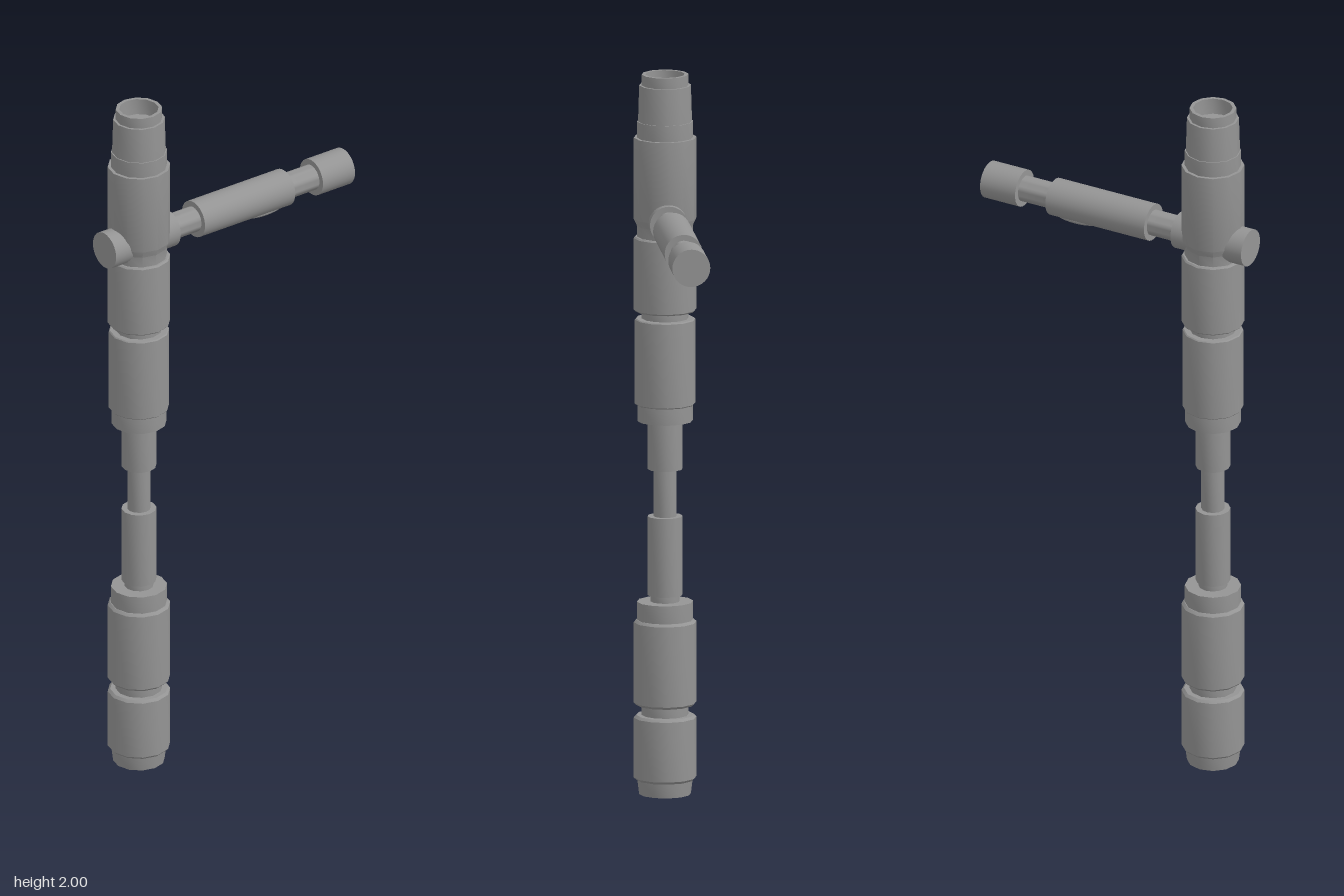
import * as THREE from 'three';
import { toCreasedNormals } from 'three/addons/utils/BufferGeometryUtils.js';

const material = new THREE.MeshStandardMaterial({ color: 0x949494 });

// Turned part from [radius, height] pairs, keeping its steps sharp
function turned(name, profile, sides) {
  const points = profile.map(([r, y]) => new THREE.Vector2(r, y));
  const geometry = toCreasedNormals(new THREE.LatheGeometry(points, sides), 0.6);
  const mesh = new THREE.Mesh(geometry, material);
  mesh.name = name;
  return mesh;
}

// Full-width sleeve with a small chamfer at both ends
const sleeve = (r, y0, y1, c = 0.007) => [[r - c, y0], [r, y0 + c], [r, y1 - c], [r - c, y1]];
const band = (r, y0, y1) => [[r, y0], [r, y1]];

export function createModel() {
  const model = new THREE.Group();

  // Upright hilt, open at both ends
  const hilt = turned('hilt', [
    [0, 0.05], [0.058, 0.05], [0.062, 0],
    [0.071, 0], [0.076, 0.04],
    ...sleeve(0.086, 0.04, 0.22),
    ...band(0.064, 0.22, 0.248),
    ...sleeve(0.086, 0.248, 0.485),
    ...band(0.077, 0.485, 0.535),
    ...band(0.04, 0.535, 0.553),
    ...band(0.048, 0.553, 0.772),
    ...band(0.032, 0.772, 0.903),
    ...band(0.048, 0.903, 1.037),
    ...band(0.076, 1.037, 1.083),
    ...sleeve(0.083, 1.083, 1.322, 0.003),
    ...band(0.064, 1.322, 1.343),
    ...sleeve(0.086, 1.343, 1.55, 0.004),
    ...band(0.077, 1.55, 1.58),
    [0.086, 1.6], [0.086, 1.825],
    ...band(0.077, 1.825, 1.87),
    [0.074, 1.87], [0.071, 1.97],
    [0.064, 1.97], [0.064, 2],
    [0.054, 2], [0.052, 1.955], [0, 1.955],
  ], 12);
  hilt.position.x = -0.292;
  model.add(hilt);

  // Side handle passing through the hilt
  const handle = turned('sideHandle', [
    [0, -0.41], ...band(0.052, -0.41, -0.188),
    ...band(0.036, -0.188, -0.105),
    ...band(0.052, -0.105, 0.205),
    ...band(0.036, 0.205, 0.3),
    ...band(0.052, 0.3, 0.41), [0, 0.41],
  ], 32);
  handle.rotation.z = -Math.PI / 2;
  handle.position.y = 1.6;
  model.add(handle);

  // Low domed oval button under the side handle
  const button = new THREE.Mesh(new THREE.SphereGeometry(1, 24, 12), material);
  button.name = 'button';
  button.scale.set(0.066, 0.012, 0.021);
  button.position.set(0.134, 1.55, 0);
  model.add(button);

  return model;
}
